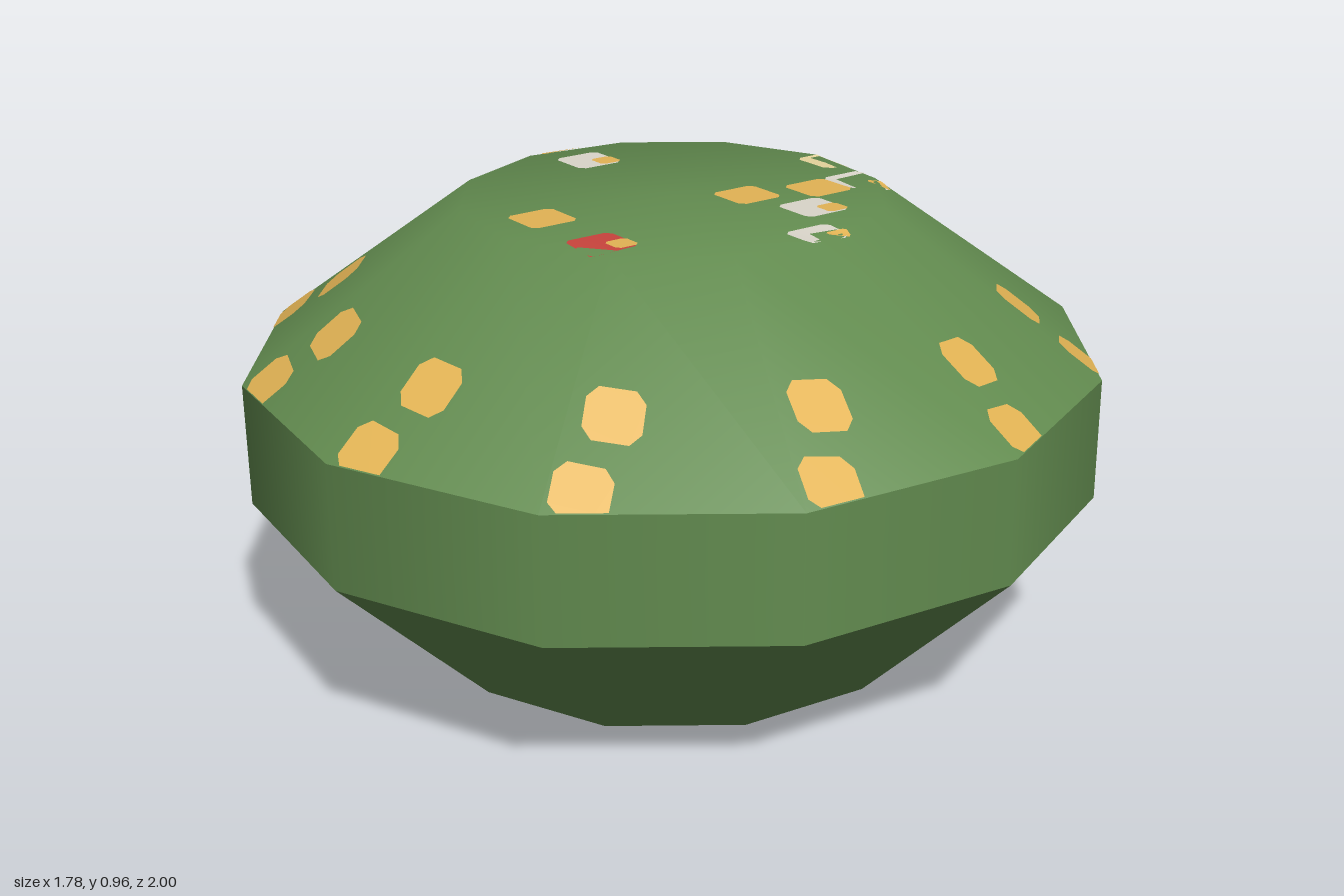
import * as THREE from 'three';

const SIDES = 12;
const STEP = (Math.PI * 2) / SIDES;
const deg = (d) => (d * Math.PI) / 180;

const mat = (name, color) => {
  const m = new THREE.MeshStandardMaterial({ color });
  m.name = name;
  return m;
};

export function createModel() {
  const green = mat('stemGreen', 0x628b4f);
  const yellow = mat('areoleYellow', 0xe2b354);
  const cream = mat('areoleCream', 0xe6d49c);
  const pale = mat('areolePale', 0xdad5ca);
  const red = mat('budRed', 0xc8433c);

  // Twelve-sided stem: base, lower taper, upright wall and smooth crown; corner is the angle of one corner
  function makeStem(name, [x, z], corner, s) {
    const group = new THREE.Group();
    group.name = name;
    group.position.set(x, 0, z);
    const bands = {
      base: [[0, s.y[0]], [s.foot, s.y[0]]],
      lowerTaper: [[s.foot, s.y[0]], [s.wide, s.y[1]]],
      wall: [[s.wide, s.y[1]], [s.wide, s.y[2]]],
      crown: [[s.wide, s.y[2]], [s.top, s.y[3]], [0, s.y[3]]],
    };
    for (const [part, profile] of Object.entries(bands)) {
      const pts = profile.map(([r, y]) => new THREE.Vector2(r, y));
      const mesh = new THREE.Mesh(new THREE.LatheGeometry(pts, SIDES, Math.PI / 2 - corner), green);
      mesh.name = part;
      group.add(mesh);
    }
    return { ...s, group, corner };
  }

  // Thin spot laid on the crown facets and trimmed at the crown edge
  function addSpot(stem, name, material, x, z, w, d, turn = 0, chamfer = 0.02, lift = 0.003) {
    const a = w / 2, b = d / 2, c = Math.min(chamfer, a / 2, b / 2);
    const outline = [[a - c, -b], [a, c - b], [a, b - c], [a - c, b], [c - a, b], [-a, b - c], [-a, c - b], [c - a, -b]];
    const shape = new THREE.Shape(outline.map(([px, py]) => new THREE.Vector2(px, py)));
    const geo = new THREE.ShapeGeometry(shape).rotateX(-Math.PI / 2).rotateY(turn).translate(x, 0, z);
    const p = geo.attributes.position;
    const k = Math.cos(STEP / 2);
    const slope = (stem.y[3] - stem.y[2]) / ((stem.wide - stem.top) * k);
    for (let i = 0; i < p.count; i++) {
      let px = p.getX(i), pz = p.getZ(i);
      const facet = Math.floor((Math.atan2(pz, px) - stem.corner) / STEP);
      const mid = stem.corner + (facet + 0.5) * STEP;
      let u = px * Math.cos(mid) + pz * Math.sin(mid);
      const excess = Math.max(0, u - stem.wide * k);
      px -= excess * Math.cos(mid);
      pz -= excess * Math.sin(mid);
      u -= excess;
      const y = stem.y[3] - slope * Math.max(0, u - stem.top * k);
      p.setXYZ(i, px, y + lift, pz);
    }
    geo.computeVertexNormals();
    const mesh = new THREE.Mesh(geo, material);
    mesh.name = name;
    stem.group.add(mesh);
  }

  const main = makeStem('mainStem', [0.015, 0.125], deg(-9),
    { foot: 0.535, wide: 0.885, top: 0.438, y: [0.02, 0.375, 0.63, 0.955] });
  const side = makeStem('sideStem', [-0.33, -0.44], deg(-4),
    { foot: 0.34, wide: 0.56, top: 0.277, y: [0, 0.215, 0.37, 0.575] });

  // Two rings of areoles round the main crown
  for (let i = 0; i < SIDES; i++) {
    for (const [radius, offset] of [[0.707, 14.3], [0.838, 16.8]]) {
      const t = deg(offset) + i * STEP;
      addSpot(main, 'ringAreole', yellow, radius * Math.cos(t), radius * Math.sin(t), 0.09, 0.108, -t);
    }
  }

  // Scattered areoles on the flat crown top: colour, x, z, width, depth
  const scattered = [
    [cream, -0.005, -0.405, 0.105, 0.07],
    [pale, 0.15, -0.365, 0.105, 0.105],
    [yellow, 0.15, -0.26, 0.105, 0.105],
    [pale, 0.255, -0.16, 0.105, 0.105],
    [yellow, 0.105, -0.11, 0.105, 0.105],
    [pale, 0.395, -0.055, 0.075, 0.105],
    [pale, -0.315, -0.005, 0.105, 0.105],
    [yellow, -0.425, -0.005, 0.016, 0.1],
    [yellow, -0.002, 0.312, 0.105, 0.105],
    [red, 0.205, 0.312, 0.105, 0.105],
  ];
  for (const [m, x, z, w, d] of scattered) addSpot(main, m === red ? 'bud' : 'crownAreole', m, x, z, w, d, 0, 0.012);

  // Small yellow corners on some of them
  for (const [x, z, w] of [[0.188, -0.393, 0.03], [0.282, -0.187, 0.05], [0.42, -0.087, 0.022], [-0.288, -0.032, 0.05], [0.232, 0.285, 0.05]])
    addSpot(main, 'areoleCorner', yellow, x, z, w, 0.05, 0, 0.008, 0.005);

  // Areoles of the side stem: x, z, turn, then the yellow corner
  for (const [x, z, turn, cx, cz] of [[-0.3, -0.355, 0.75, -0.315, -0.325], [0.015, -0.43, -0.1, 0.045, -0.45], [-0.4, -0.065, -0.15, -0.385, -0.1]]) {
    addSpot(side, 'sideAreole', cream, x, z, 0.1, 0.1, turn);
    addSpot(side, 'areoleCorner', yellow, cx, cz, 0.042, 0.045, turn, 0.008, 0.005);
  }
  addSpot(side, 'sideAreole', yellow, -0.505, -0.225, 0.02, 0.06, -0.4);

  const model = new THREE.Group();
  model.name = 'cactus';
  model.add(main.group, side.group);
  return model;
}
